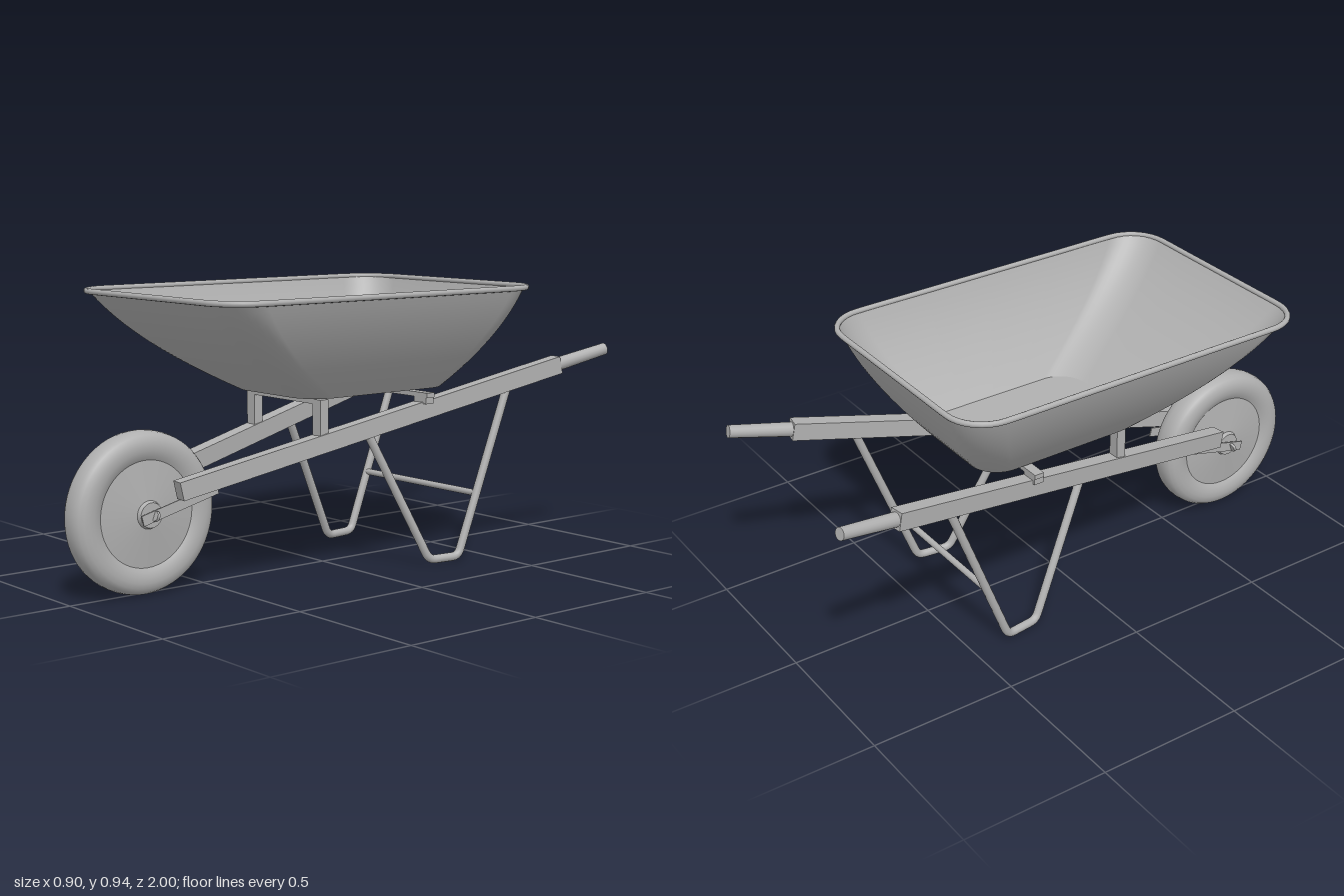
import * as THREE from 'three';

const steel = new THREE.MeshStandardMaterial({ color: 0xb0b0b0, side: THREE.DoubleSide });
steel.name = 'grey steel';
const V = (x, y, z) => new THREE.Vector3(x, y, z);

function add(parent, name, geometry) {
  const mesh = new THREE.Mesh(geometry, steel);
  mesh.name = name;
  parent.add(mesh);
  return mesh;
}

// Puts a geometry whose length runs along z between two points
function between(parent, name, geometry, a, b) {
  const mesh = add(parent, name, geometry);
  mesh.position.copy(a).add(b).multiplyScalar(0.5);
  mesh.lookAt(b);
  return mesh;
}
const beam = (parent, name, a, b, w, h) =>
  between(parent, name, new THREE.BoxGeometry(w, h, a.distanceTo(b)), a, b);
const rod = (parent, name, a, b, r, sides = 16, r2 = r) =>
  between(parent, name, new THREE.CylinderGeometry(r2, r, a.distanceTo(b), sides).rotateX(Math.PI / 2), a, b);

// Rounded rectangle loop in the xz plane
const CORNER = 10, EDGE = 4;
function loop(w, front, back, r, y) {
  const pts = [];
  const centres = [[w - r, front - r], [r - w, front - r], [r - w, back + r], [w - r, back + r]];
  const at = (k, i) => {
    const a = (k + i / CORNER) * Math.PI / 2, c = centres[k % 4];
    return V(c[0] + r * Math.cos(a), y, c[1] + r * Math.sin(a));
  };
  for (let k = 0; k < 4; k++) {
    for (let i = 0; i <= CORNER; i++) pts.push(at(k, i));
    const a = at(k, CORNER), b = at((k + 1) % 4, 0);
    for (let i = 1; i < EDGE; i++) pts.push(a.clone().lerp(b, i / EDGE));
  }
  return pts;
}

function trayLoop(t) {
  const f = t + 0.45 * t * (1 - t);
  return loop(0.22 + 0.215 * f, 0.23 + 0.468 * f, -0.39 - 0.197 * f, 0.1 + 0.03 * t, 0.597 + 0.338 * t);
}

function buildTray() {
  const tray = new THREE.Group();
  tray.name = 'tray';
  // Bulging wall, skinned through stacked loops
  const LEVELS = 12, pos = [], idx = [];
  let n = 0;
  for (let j = 0; j <= LEVELS; j++) {
    const ring = trayLoop(j / LEVELS);
    n = ring.length;
    ring.forEach(p => pos.push(p.x, p.y, p.z));
  }
  for (let j = 0; j < LEVELS; j++) for (let i = 0; i < n; i++) {
    const a = j * n + i, b = j * n + (i + 1) % n;
    idx.push(a, a + n, b, b, a + n, b + n);
  }
  const wall = new THREE.BufferGeometry();
  wall.setAttribute('position', new THREE.Float32BufferAttribute(pos, 3));
  wall.setIndex(idx);
  wall.computeVertexNormals();
  add(tray, 'trayWall', wall);
  // Flat floor
  const outline = new THREE.Shape(trayLoop(0).map(p => new THREE.Vector2(p.x, -p.z)));
  add(tray, 'trayFloor', new THREE.ShapeGeometry(outline).rotateX(-Math.PI / 2)).position.y = 0.597;
  // Rolled rim
  const path = new THREE.CatmullRomCurve3(loop(0.441, 0.704, -0.592, 0.13, 0.936), true, 'centripetal');
  add(tray, 'trayRim', new THREE.TubeGeometry(path, 160, 0.0095, 10, true));
  return tray;
}

function buildWheel() {
  const wheel = new THREE.Group();
  wheel.name = 'wheel';
  wheel.position.set(0, 0.265, 0.74);
  const P = (r, x) => new THREE.Vector2(r, x);
  const spin = (name, pts) => add(wheel, name, new THREE.LatheGeometry(pts, 64).rotateZ(-Math.PI / 2));
  // Tyre with a rounded cross-section
  const half = [[0.17, 0.04], [0.183, 0.048], [0.2, 0.053], [0.218, 0.054], [0.235, 0.05], [0.249, 0.041], [0.257, 0.027], [0.26, 0.01]];
  spin('tyre', [...half.map(p => P(p[0], -p[1])), ...half.map(p => P(p[0], p[1])).reverse()]);
  for (const s of [-1, 1]) {
    // Slightly conical disc and hub
    spin('wheelDisc', [P(0.172, s * 0.04), P(0.045, s * 0.054)]);
    spin('hubSide', [P(0.045, s * 0.052), P(0.04, s * 0.067)]);
    spin('hubFace', [P(0.04, s * 0.067), P(0.001, s * 0.067)]);
    rod(wheel, 'axleNut', V(s * 0.086, 0, 0), V(s * 0.096, 0, 0), 0.017, 6);
  }
  rod(wheel, 'axle', V(-0.105, 0, 0), V(0.105, 0, 0), 0.011);
  return wheel;
}

// Bent tube: straight runs joined by short curves
function bentTube(points, bend, r) {
  const path = new THREE.CurvePath();
  let from = points[0];
  for (let i = 1; i < points.length - 1; i++) {
    const p = points[i];
    const a = p.clone().add(points[i - 1].clone().sub(p).setLength(bend));
    const b = p.clone().add(points[i + 1].clone().sub(p).setLength(bend));
    path.add(new THREE.LineCurve3(from, a));
    path.add(new THREE.QuadraticBezierCurve3(a, p, b));
    from = b;
  }
  path.add(new THREE.LineCurve3(from, points[points.length - 1]));
  return new THREE.TubeGeometry(path, 120, r, 12);
}

function buildSide(s) {
  const side = new THREE.Group();
  side.name = s > 0 ? 'leftFrame' : 'rightFrame';
  // Long handle beam and round grip
  const front = V(s * 0.096, 0.337, 0.658), back = V(s * 0.327, 0.652, -0.79);
  beam(side, 'handleBeam', front, back, 0.05, 0.06);
  rod(side, 'grip', back, V(s * 0.36, 0.696, -0.995), 0.024, 16, 0.021);
  // Bent tube leg
  add(side, 'leg', bentTube([
    V(s * 0.204, 0.49, -0.01), V(s * 0.268, 0.021, -0.245),
    V(s * 0.283, 0.021, -0.365), V(s * 0.291, 0.58, -0.578),
  ], 0.025, 0.0145));
  // Axle bracket plate
  beam(side, 'axleBracket', V(s * 0.083, 0.254, 0.785), V(s * 0.083, 0.325, 0.5), 0.005, 0.034);
  // Supports between beam and tray
  const frontPost = add(side, 'frontSupport', new THREE.BoxGeometry(0.04, 0.12, 0.034));
  frontPost.position.set(s * 0.176, 0.52, 0.153);
  const rearBlock = add(side, 'rearSupport', new THREE.BoxGeometry(0.06, 0.035, 0.034));
  rearBlock.position.set(s * 0.246, 0.571, -0.235);
  return side;
}

export function createModel() {
  const model = new THREE.Group();
  model.name = 'wheelbarrow';
  model.add(buildTray(), buildWheel(), buildSide(1), buildSide(-1));
  // Cross members under the tray
  beam(model, 'frontCrossMember', V(-0.196, 0.583, 0.153), V(0.196, 0.583, 0.153), 0.034, 0.016);
  beam(model, 'rearCrossMember', V(-0.28, 0.583, -0.235), V(0.28, 0.583, -0.235), 0.034, 0.016);
  // Brace between the rear legs
  rod(model, 'legBrace', V(-0.286, 0.23, -0.443), V(0.286, 0.23, -0.443), 0.011);
  return model;
}
